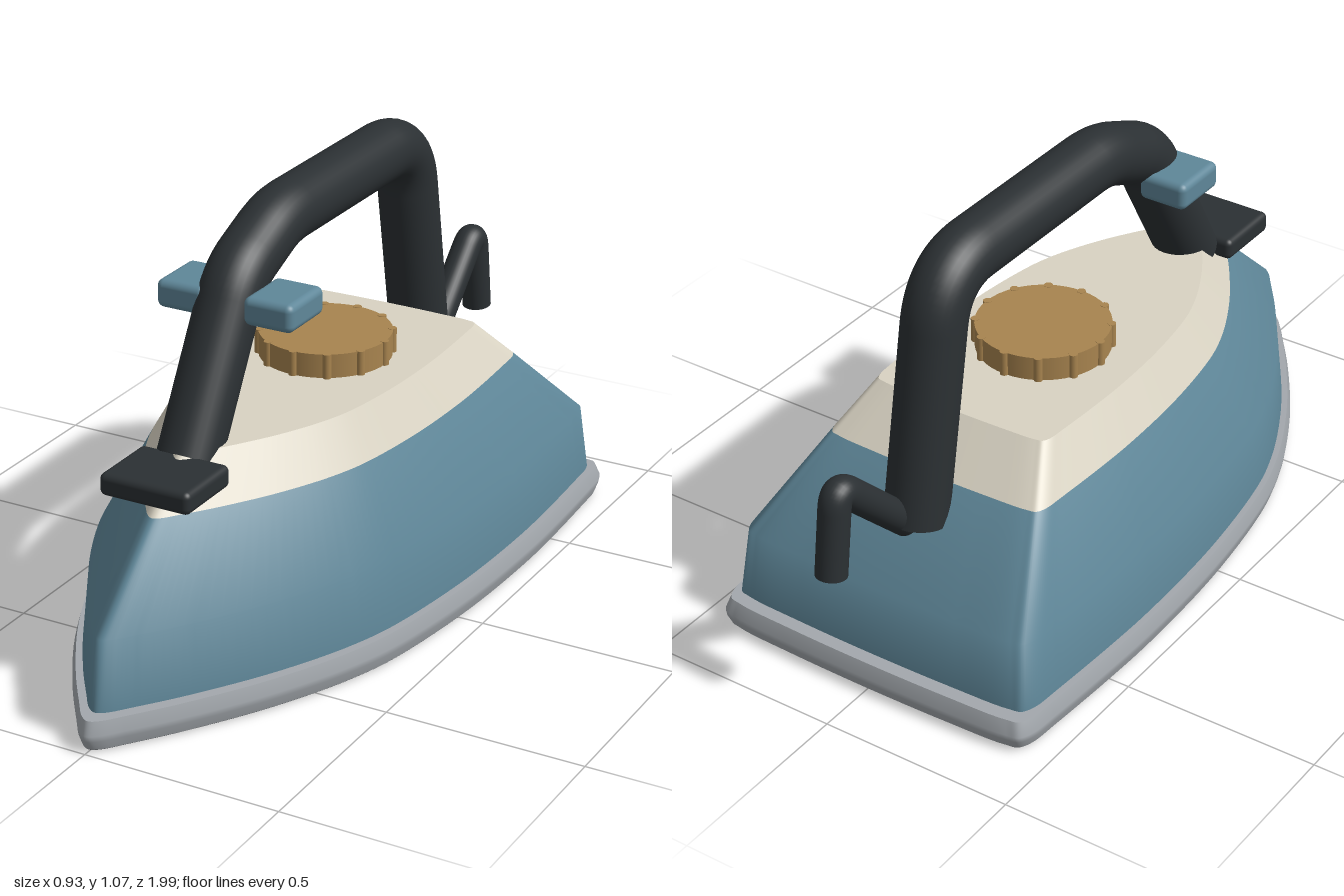
import * as THREE from 'three';
import { RoundedBoxGeometry } from 'three/addons/geometries/RoundedBoxGeometry.js';

const mat = (color) => new THREE.MeshStandardMaterial({ color });
const blue = mat(0x5f8799), cream = mat(0xd9d3c3), dark = mat(0x2b3033);
const steel = mat(0xa3a8ad), base = mat(0x4c4f52), brass = mat(0xa8844f), black = mat(0x141414);

// Half of the pointed plan outline: [share of half width, share of length from the back]
const half = [
  [0, 0], [0.5, 0.002], [0.85, 0.007], [0.925, 0.014], [0.955, 0.035], [0.965, 0.07], [0.99, 0.18],
  [1, 0.28], [0.975, 0.44], [0.89, 0.6], [0.8, 0.68], [0.6, 0.79], [0.33, 0.9], [0.14, 0.965], [0.055, 0.992], [0, 1],
];
const loop = [...half, ...half.slice(1, -1).reverse().map(([x, v]) => [-x, v])];
const outline = new THREE.CatmullRomCurve3(
  loop.map(([x, v]) => new THREE.Vector3(x, 0, v)), true, 'centripetal'
).getPoints(180).slice(0, -1);

// Stack scaled outlines; each ring is [y, half width, front z, back z]
function loft(rings, capBottom, capTop) {
  const n = outline.length, pos = [], index = [];
  const addRing = ([y, w, front, back]) => {
    for (const p of outline) pos.push(p.x * w, y, back + p.z * (front - back));
  };
  rings.forEach(addRing);
  for (let r = 0; r < rings.length - 1; r++) {
    for (let i = 0; i < n; i++) {
      const j = (i + 1) % n, a = r * n + i, b = r * n + j;
      index.push(a, a + n, b + n, a, b + n, b);
    }
  }
  const cap = (ring, up) => {
    const start = pos.length / 3;
    addRing(ring);
    pos.push(0, ring[0], (ring[2] + ring[3]) / 2);
    for (let i = 0; i < n; i++) {
      const a = start + i, b = start + (i + 1) % n;
      index.push(start + n, up ? b : a, up ? a : b);
    }
  };
  if (capBottom) cap(rings[0], false);
  if (capTop) cap(rings[rings.length - 1], true);
  const g = new THREE.BufferGeometry();
  g.setAttribute('position', new THREE.Float32BufferAttribute(pos, 3));
  g.setIndex(index);
  g.computeVertexNormals();
  return g;
}

// Capped tube along straight runs joined by rounded corners; points are [z, y, corner length]
function bentTube(name, x, points, radius) {
  const group = new THREE.Group();
  group.name = name;
  const pts = points.map(([z, y]) => new THREE.Vector3(x, y, z));
  const path = new THREE.CurvePath();
  let from = pts[0];
  for (let i = 1; i < pts.length - 1; i++) {
    const toward = (q) => pts[i].clone().add(q.clone().sub(pts[i]).setLength(points[i][2]));
    const a = toward(pts[i - 1]), b = toward(pts[i + 1]);
    path.add(new THREE.LineCurve3(from, a));
    path.add(new THREE.QuadraticBezierCurve3(a, pts[i], b));
    from = b;
  }
  path.add(new THREE.LineCurve3(from, pts[pts.length - 1]));
  group.add(new THREE.Mesh(new THREE.TubeGeometry(path, 120, radius, 32), dark));
  for (const t of [0, 1]) {
    const end = new THREE.Mesh(new THREE.CircleGeometry(radius, 32), dark);
    const dir = path.getTangentAt(t).multiplyScalar(t ? 1 : -1);
    end.position.copy(path.getPointAt(t));
    end.quaternion.setFromUnitVectors(new THREE.Vector3(0, 0, 1), dir);
    group.add(end);
  }
  return group;
}

export function createModel() {
  const model = new THREE.Group();
  const add = (name, geometry, material, x = 0, y = 0, z = 0) => {
    const m = new THREE.Mesh(geometry, material);
    m.name = name;
    m.position.set(x, y, z);
    model.add(m);
    return m;
  };

  // Soleplate with a bulging rim and a dark underside
  add('soleplateRim', loft([
    [0.006, 0.455, 0.985, -0.85], [0.03, 0.463, 0.996, -0.859],
    [0.045, 0.465, 0.998, -0.861], [0.078, 0.455, 0.985, -0.848],
  ], false, true), steel);
  add('soleplateUnderside', loft([
    [0.005, 0.454, 0.984, -0.849], [0.007, 0.454, 0.984, -0.849],
  ], true, false), base);
  for (const x of [-0.25, 0, 0.25]) {
    for (const z of [-0.71, -0.51, -0.28, -0.05, 0.18, 0.38]) {
      add('steamHole', new THREE.CylinderGeometry(0.015, 0.015, 0.008, 16), black, x, 0.004, z);
    }
  }

  // Body: steep skirt, sloping shoulder, then the pale upper cover
  const seam = [0.46, 0.318, 0.698, -0.586];
  add('body', loft([
    [0.085, 0.443, 0.955, -0.82], [0.255, 0.428, 0.925, -0.795], seam,
  ], true, false), blue);
  add('upperCover', loft([seam, [0.57, 0.255, 0.572, -0.472]], false, true), cream);

  // Handle and cord
  model.add(bentTube('handle', -0.015, [
    [0.51, 0.53], [0.29, 0.91, 0.06], [0.1, 0.99, 0.06], [-0.547, 0.99, 0.13], [-0.657, 0.385],
  ], 0.077));
  model.add(bentTube('cord', 0, [
    [-0.68, 0.385], [-0.927, 0.625, 0.06], [-0.957, 0.4],
  ], 0.038));

  // Thumb tabs on either side of the handle, and the front rest
  for (const s of [-1, 1]) {
    add('thumbTab', new RoundedBoxGeometry(0.13, 0.07, 0.16, 4, 0.018), blue, s * 0.116, 0.86, 0.297);
  }
  add('frontRest', new RoundedBoxGeometry(0.238, 0.056, 0.19, 4, 0.016), dark, 0, 0.532, 0.64);

  // Temperature dial with grip ribs
  const dialZ = -0.115;
  add('dial', new THREE.CylinderGeometry(0.165, 0.165, 0.062, 48), brass, 0, 0.6, dialZ);
  for (let i = 0; i < 12; i++) {
    const a = (i / 12) * Math.PI * 2;
    add('dialRib', new THREE.CylinderGeometry(0.011, 0.011, 0.062, 12), brass,
      Math.cos(a) * 0.163, 0.601, dialZ + Math.sin(a) * 0.163);
  }
  return model;
}
